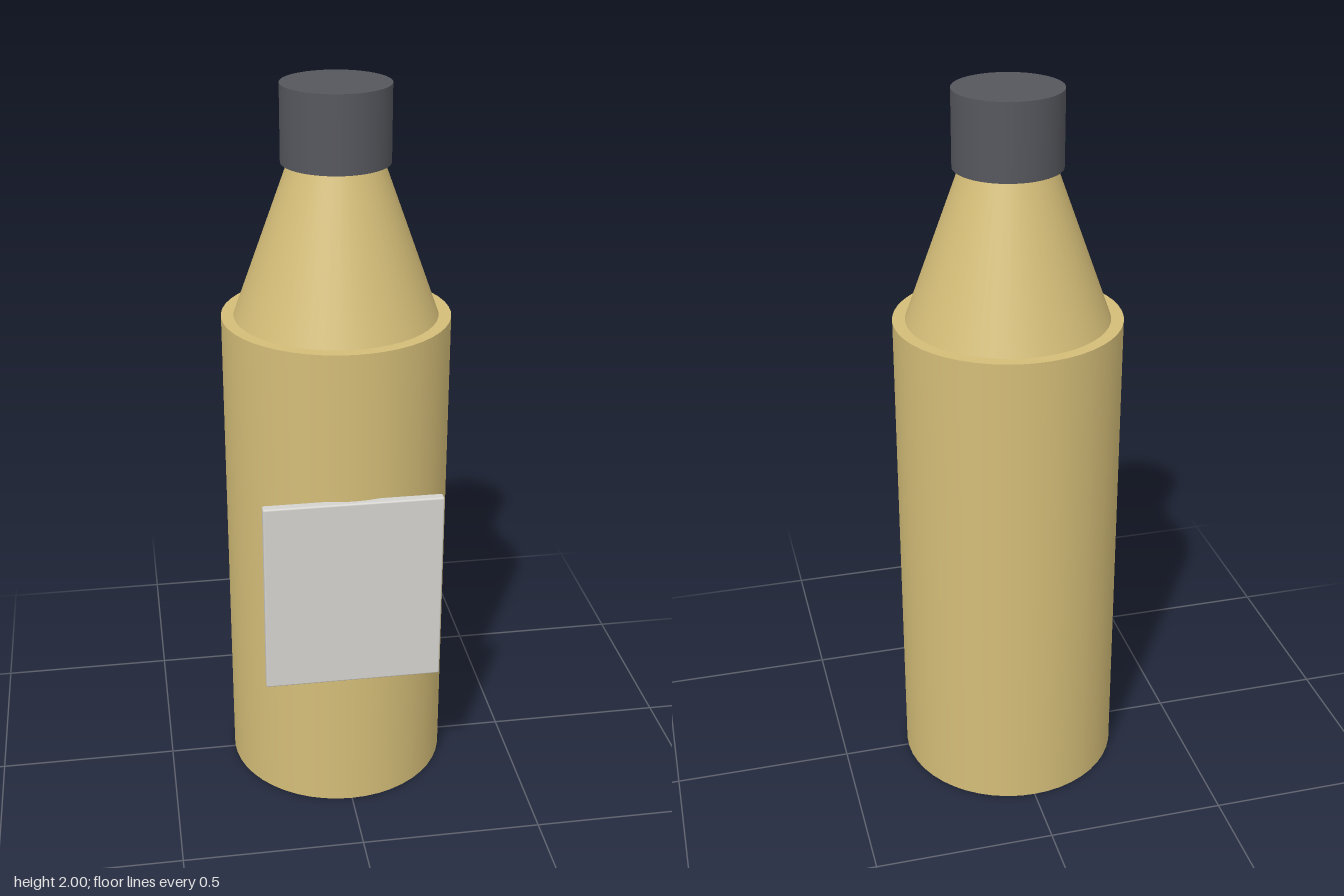
import * as THREE from 'three';
import { RoundedBoxGeometry } from 'three/addons/geometries/RoundedBoxGeometry.js';

const material = (name, color) => {
  const m = new THREE.MeshStandardMaterial({ color });
  m.name = name;
  return m;
};

export function createModel() {
  const gold = material('gold', 0xd4bd78);
  const charcoal = material('charcoal', 0x56575d);
  const paper = material('paper grey', 0xd4d3cf);

  const model = new THREE.Group();
  model.name = 'bottle';
  const axisZ = -0.008;

  // Upright round section between two heights
  const section = (name, rTop, rBottom, y0, y1, mat) => {
    const mesh = new THREE.Mesh(new THREE.CylinderGeometry(rTop, rBottom, y1 - y0, 48), mat);
    mesh.name = name;
    mesh.position.set(0, (y0 + y1) / 2, axisZ);
    model.add(mesh);
  };

  section('body', 0.31, 0.31, 0, 1.38, gold);
  section('shoulder', 0.121, 0.276, 1.38, 1.81, gold);
  section('cap', 0.145, 0.145, 1.795, 2, charcoal);

  // Flat label plate with softened edges, set into the front of the body
  const label = new THREE.Mesh(new RoundedBoxGeometry(0.484, 0.55, 0.028, 2, 0.005), paper);
  label.name = 'label';
  label.position.set(0, 0.69, 0.303);
  model.add(label);

  return model;
}
